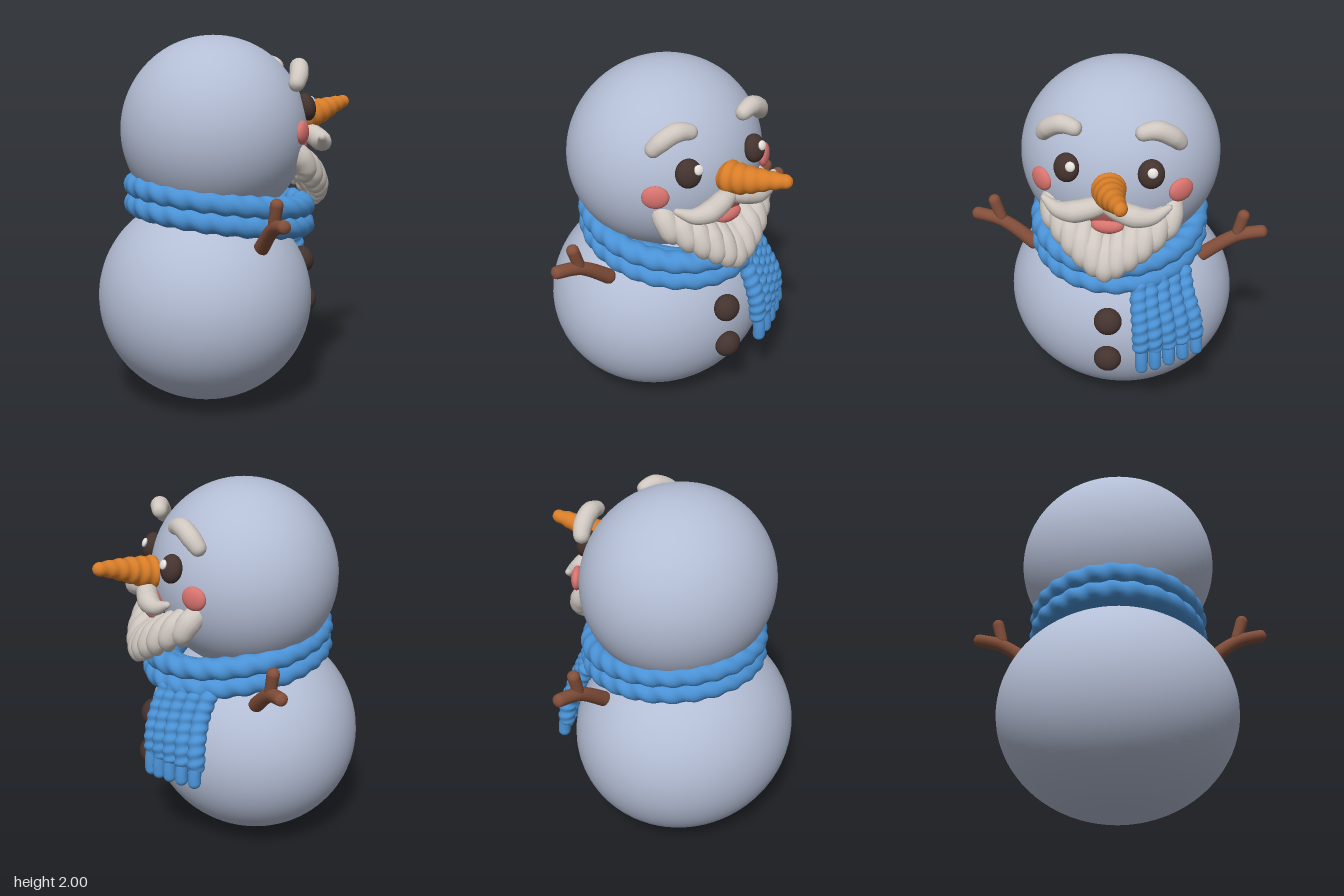
import * as THREE from 'three';
import { mergeVertices } from 'three/addons/utils/BufferGeometryUtils.js';

const V = (x, y, z) => new THREE.Vector3(x, y, z);
const material = (name, color) => {
  const m = new THREE.MeshStandardMaterial({ color });
  m.name = name;
  return m;
};

// Soft tube through points [x, y, z, radius], rounded at its ends.
// bump(u, angle) gives an optional factor on the radius.
function softTube(pts, { n = 32, sides = 14, closed = false, bump = () => 1 } = {}) {
  const curve = new THREE.CatmullRomCurve3(pts.map(p => V(p[0], p[1], p[2])), closed);
  const length = curve.getLength();
  const geo = new THREE.TubeGeometry(curve, n, 1, sides, closed);
  const pos = geo.attributes.position, v = V(0, 0, 0);
  const spans = closed ? pts.length : pts.length - 1;
  for (let i = 0; i <= n; i++) {
    const u = i / n, c = curve.getPointAt(u);
    const t = curve.getUtoTmapping(u) * spans;
    const k = Math.min(Math.floor(t), spans - 1);
    let r = THREE.MathUtils.lerp(pts[k][3], pts[(k + 1) % pts.length][3], t - k);
    const d = Math.min(u, 1 - u) * length;
    if (!closed && d < r) r *= Math.sqrt(Math.max(0, 1 - (1 - d / r) ** 2));
    for (let j = 0; j <= sides; j++) {
      const id = i * (sides + 1) + j;
      v.fromBufferAttribute(pos, id).sub(c);
      v.multiplyScalar(r * bump(u, (j / sides) * Math.PI * 2)).add(c);
      pos.setXYZ(id, v.x, v.y, v.z);
    }
  }
  geo.deleteAttribute('uv');
  geo.deleteAttribute('normal');
  const merged = mergeVertices(geo, 1e-5);
  merged.computeVertexNormals();
  return merged;
}

export function createModel() {
  const root = new THREE.Group();
  root.name = 'snowman';
  const snow = material('snow', 0xb3bdd4);
  const wool = material('blue wool', 0x4a92d6);
  const hair = material('pale hair', 0xcfc7c0);
  const wood = material('brown wood', 0x834f3a);
  const coal = material('dark coal', 0x44332f);
  const carrot = material('orange carrot', 0xd87d28);
  const blush = material('pink blush', 0xd8736e);
  const mouthRed = material('mouth red', 0xae5650);
  const white = material('glint white', 0xe6e2de);

  const add = (name, geo, mat, parent = root) => {
    const m = new THREE.Mesh(geo, mat);
    m.name = name;
    parent.add(m);
    return m;
  };
  const group = name => {
    const g = new THREE.Group();
    g.name = name;
    root.add(g);
    return g;
  };
  // Ellipsoid with its local z axis turned towards dir
  const blob = (name, mat, p, s, dir = [0, 0, 1], parent = root, seg = 32) => {
    const m = add(name, new THREE.SphereGeometry(1, seg, Math.round(seg * 0.7)), mat, parent);
    m.position.set(...p);
    m.scale.set(...s);
    m.lookAt(p[0] + dir[0], p[1] + dir[1], p[2] + dir[2]);
    return m;
  };

  // Body and head
  blob('body', snow, [-0.155, 0.572, 0.003], [0.585, 0.568, 0.637], undefined, root, 64);
  blob('head', snow, [-0.1, 1.49, 0], [0.503, 0.51, 0.534], undefined, root, 64);

  // Buttons
  blob('upperButton', coal, [0.432, 0.735, -0.015], [0.075, 0.075, 0.06], [1, 0.25, 0]);
  blob('lowerButton', coal, [0.45, 0.495, -0.015], [0.075, 0.075, 0.06], [1, -0.1, 0]);

  // Eyes with glints, and cheeks
  for (const [side, z, gz, cheekZ] of [['left', 0.2, 0.172, 0.347], ['right', -0.225, -0.238, -0.367]]) {
    blob(side + 'Eye', coal, [0.36, 1.62, z], [0.068, 0.075, 0.05], [1, 0.25, z * 1.6]);
    blob(side + 'EyeGlint', white, [0.405, 1.65, gz], [0.026, 0.026, 0.014], [1, 0.4, z]);
    blob(side + 'Cheek', blush, [0.283, 1.5, cheekZ], [0.07, 0.063, 0.03], [1, 0.02, cheekZ * 2.3]);
  }

  // Carrot nose with shallow rings
  add('nose', softTube([
    [0.34, 1.54, -0.01, 0.09], [0.43, 1.55, -0.025, 0.085], [0.53, 1.575, -0.05, 0.07],
    [0.64, 1.605, -0.095, 0.047], [0.74, 1.627, -0.14, 0.03],
  ], { n: 60, sides: 20, bump: (u, a) => 1 + 0.045 * Math.sin(u * 42 + Math.sin(a)) }), carrot);

  // Eyebrows and moustache, one of each per side
  for (const s of [1, -1]) {
    const side = s > 0 ? 'left' : 'right';
    const o = s > 0 ? 0 : -0.013;
    add(side + 'Eyebrow', softTube([
      [0.235, 1.72, s * 0.355 + o, 0.038], [0.275, 1.79, s * 0.305 + o, 0.05],
      [0.305, 1.832, s * 0.225 + o, 0.05], [0.33, 1.81, s * 0.125 + o, 0.036],
    ]), hair);
    add(side + 'Moustache', softTube([
      [0.43, 1.48, -s * 0.03 + o, 0.04], [0.455, 1.455, s * 0.06 + o, 0.056], [0.465, 1.432, s * 0.15 + o, 0.058],
      [0.45, 1.43, s * 0.23 + o, 0.042], [0.42, 1.455, s * 0.29 + o, 0.024], [0.4, 1.475, s * 0.325 + o, 0.012],
    ], { n: 40 }), hair);
  }

  // Open mouth and tongue
  blob('mouth', mouthRed, [0.385, 1.385, -0.013], [0.11, 0.09, 0.05], [1, -0.2, 0]);
  blob('tongue', blush, [0.41, 1.335, -0.013], [0.085, 0.045, 0.045], [1, 0, 0]);

  // Beard: overlapping locks fanned around the chin
  const beard = group('beard');
  for (let i = -5; i <= 5; i++) {
    const f = Math.abs(i) / 5, z = i * 0.062 - 0.013;
    const top = 1.245 + 0.165 * f ** 1.1, tip = 1.045 + 0.175 * f ** 1.2;
    const out = 0.5 - 0.17 * f * f;
    add('beardLock', softTube([
      [out - 0.13, top + 0.03, z * 0.98, 0.05],
      [out - 0.035, (top + tip) / 2 + 0.045, z, 0.064],
      [out, tip + 0.075, z * 0.96, 0.058],
      [out - 0.01, tip, z * 0.86, 0.03],
    ], { n: 24 }), hair, beard);
  }

  // Scarf loop: two twisted strands over a plain inner roll
  const scarf = group('scarf');
  const ring = (dr, dy, r) => Array.from({ length: 16 }, (_, i) => {
    const a = i / 16 * Math.PI * 2;
    return [-0.065 + (0.465 + dr) * Math.cos(a), 1.085 - 0.065 * Math.cos(a) + dy, (0.425 + dr) * Math.sin(a), r];
  });
  const twist = k => (u, a) => 1 + 0.08 * Math.sin(u * k * Math.PI * 2 + 2 * a);
  for (const [name, dr, dy] of [['upperStrand', 0, 0.053], ['lowerStrand', 0, -0.05]])
    add(name, softTube(ring(dr, dy, 0.059), { n: 240, sides: 18, closed: true, bump: twist(26) }), wool, scarf);
  add('innerRoll', softTube(ring(-0.075, 0, 0.08), { n: 64, closed: true }), wool, scarf);

  // Hanging scarf end: knitted columns, each ending in a tassel
  const tail = group('scarfTail');
  for (let i = 0; i < 5; i++) {
    const f = i / 4;
    const z0 = -0.17 - 0.21 * f, z1 = -0.205 - 0.275 * f;
    const x = [0.36, 0.425, 0.47, 0.478].map(v => v - 0.165 * f ** 1.3);
    add('knitColumn', softTube([
      [x[0], 1.0, z0, 0.044], [x[1], 0.87, z0 * 0.7 + z1 * 0.3, 0.046],
      [x[2], 0.72, z0 * 0.2 + z1 * 0.8, 0.047], [x[3], 0.575, z1, 0.046],
    ], { n: 72, bump: (u, a) => 1 + 0.08 * Math.sin(u * 50 + a + i * 1.5) }), wool, tail);
    add('tassel', softTube([
      [x[3], 0.63, z1, 0.034], [x[3] + 0.012, 0.55, z1 * 1.01, 0.035],
      [x[3] + 0.012, 0.46 + 0.035 * f, z1 * 1.02, 0.034],
    ]), wool, tail);
  }

  // Forked stick arms
  const arms = [
    ['leftArm', [0.02, 0.9, 0.44], [0.025, 1.055, 0.645], [0.03, 1.1, 0.82], [0.027, 1.215, 0.695]],
    ['rightArm', [-0.015, 0.9, -0.44], [-0.025, 1.055, -0.65], [-0.035, 1.1, -0.82], [-0.03, 1.215, -0.69]],
  ];
  for (const [name, base, fork, tip, twig] of arms) {
    const arm = group(name);
    add('stick', softTube([[...base, 0.042], [...fork, 0.036], [...tip, 0.035]]), wood, arm);
    add('twig', softTube([[...fork, 0.03], [...twig, 0.034]]), wood, arm);
  }

  return root;
}
